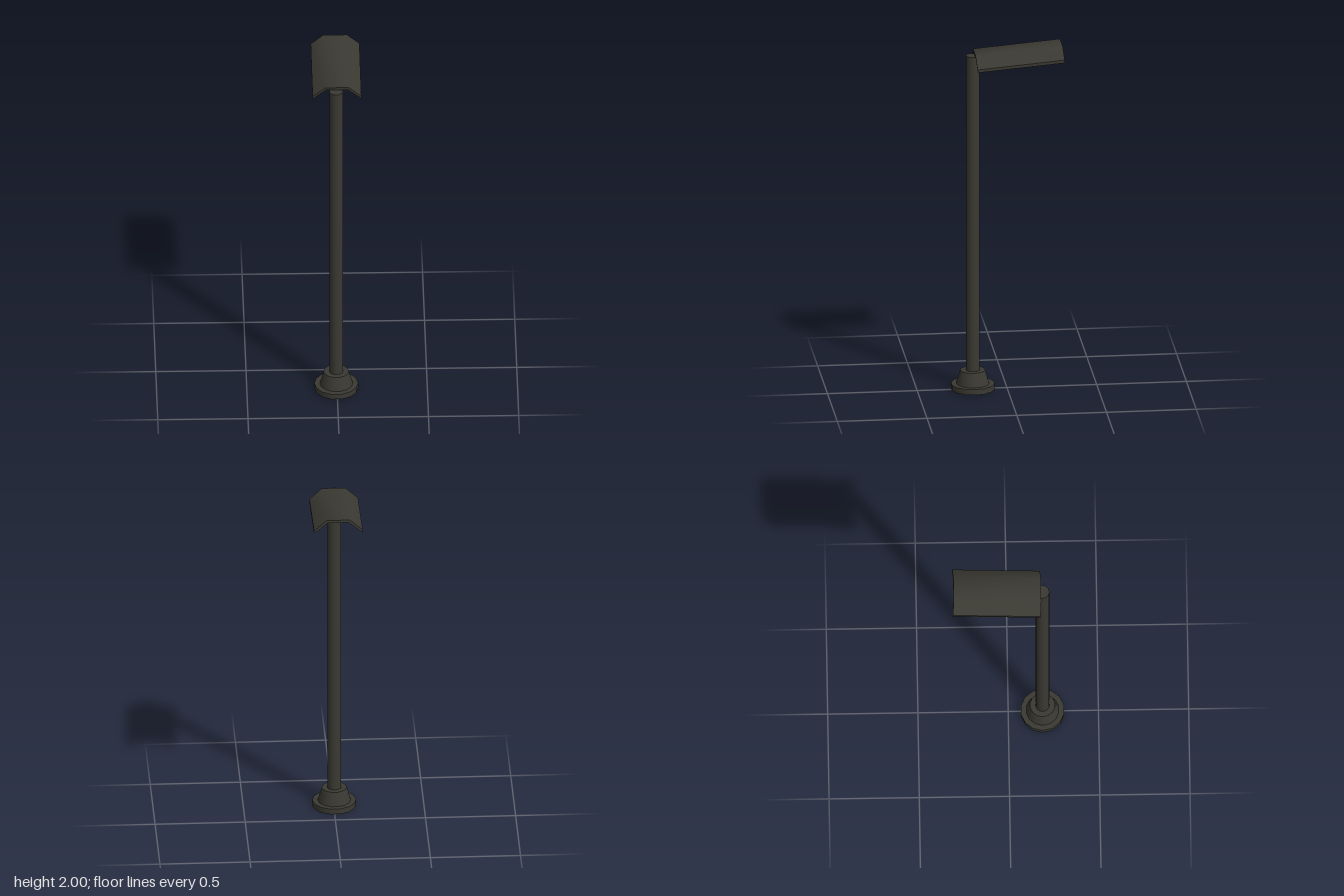
import * as THREE from 'three';
import { toCreasedNormals } from 'three/addons/utils/BufferGeometryUtils.js';

const darkMetal = new THREE.MeshStandardMaterial({ color: 0x3a3932 });
darkMetal.name = 'darkMetal';

const POLE_X = -0.004, POLE_Z = 0.19;

function part(name, geometry, x, y, z) {
  const mesh = new THREE.Mesh(geometry, darkMetal);
  mesh.name = name;
  mesh.position.set(x, y, z);
  return mesh;
}

export function createModel() {
  const lamp = new THREE.Group();
  lamp.name = 'streetLamp';

  // Hollow foot: wide flange with a tapered collar, open underneath
  const profile = [
    [0.09, 0], [0.122, 0], [0.122, 0.032], [0.092, 0.032], [0.07, 0.11],
    [0.03, 0.11], [0.03, 0.1], [0.062, 0.1], [0.084, 0.026], [0.09, 0],
  ].map(([r, y]) => new THREE.Vector2(r, y));
  const foot = new THREE.LatheGeometry(profile, 14, Math.PI / 2);
  lamp.add(part('foot', toCreasedNormals(foot, 0.8), POLE_X, 0, POLE_Z));

  // Slim round pole
  const pole = new THREE.CylinderGeometry(0.038, 0.038, 1.88, 32);
  lamp.add(part('pole', pole, POLE_X, 1.0, POLE_Z));

  // Folded lamp hood: flat top with two sloping wings, tilted up to the back
  const half = [[0.065, 0], [0.135, -0.06], [0.135, -0.077], [0.059, -0.015]];
  const outline = [...half, ...half.map(([x, y]) => [-x, y]).reverse()];
  const section = new THREE.Shape(outline.map(([x, y]) => new THREE.Vector2(x, y)));
  const hoodGeometry = new THREE.ExtrudeGeometry(section, { depth: 0.487, bevelEnabled: false });
  const hood = part('lampHood', toCreasedNormals(hoodGeometry, 0.8), 0, 2.0, -0.303);
  hood.rotation.x = 0.083;
  lamp.add(hood);

  return lamp;
}
